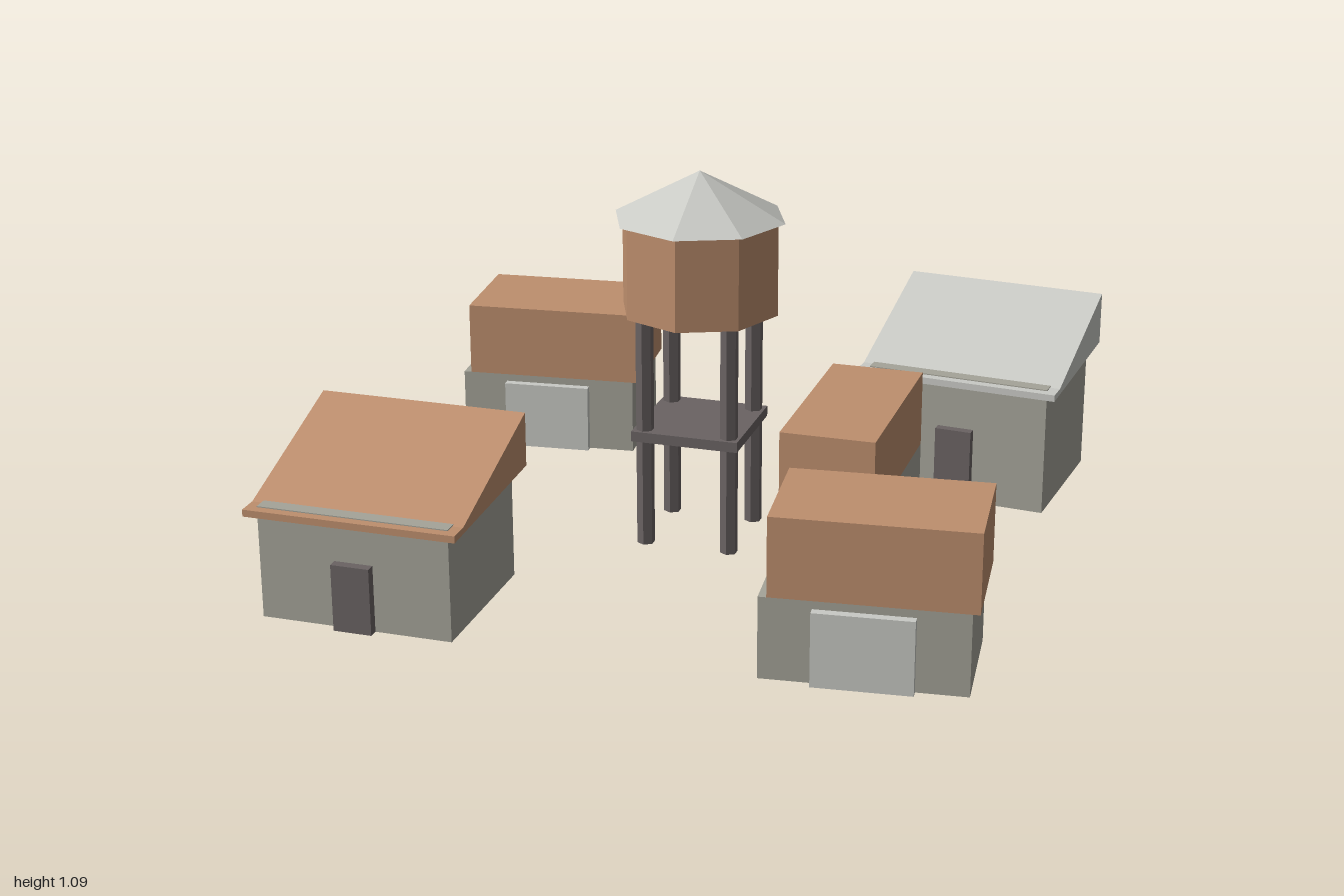
import * as THREE from 'three';

const mat = (name, color) => {
  const m = new THREE.MeshStandardMaterial({ color });
  m.name = name;
  return m;
};

export function createModel() {
  const rust = mat('rust orange', 0xbe8f6e);
  const wall = mat('wall grey', 0xa5a499);
  const light = mat('light metal', 0xc9cac5);
  const dark = mat('dark metal', 0x6a6363);

  const model = new THREE.Group();
  model.name = 'outpost';

  const group = (name, x, z, turn = 0) => {
    const g = new THREE.Group();
    g.name = name;
    g.position.set(x, 0, z);
    g.rotation.y = turn;
    model.add(g);
    return g;
  };
  const add = (parent, name, geometry, material, x = 0, y = 0, z = 0) => {
    const mesh = new THREE.Mesh(geometry, material);
    mesh.name = name;
    mesh.position.set(x, y, z);
    parent.add(mesh);
    return mesh;
  };
  // box standing with its bottom at y
  const box = (parent, name, material, w, h, d, x, y, z) =>
    add(parent, name, new THREE.BoxGeometry(w, h, d), material, x, y + h / 2, z);

  // hut with a single-slope roof, high at the back
  function hut(x, z, turn, height, roofMaterial) {
    const g = group('hut', x, z, turn);
    box(g, 'hutWalls', wall, 0.55, height + 0.003, 0.456, 0, 0, 0);
    box(g, 'hutDoor', dark, 0.11, height * 0.6, 0.04, 0, 0, 0.235);
    const profile = new THREE.Shape([
      [0.255, -0.02], [0.255, 0], [0.195, 0], [-0.265, 0.157], [-0.265, 0],
    ].map(([u, v]) => new THREE.Vector2(u, v)));
    const roof = new THREE.ExtrudeGeometry(profile, { depth: 0.61, bevelEnabled: false });
    roof.translate(0, 0, -0.305).rotateY(-Math.PI / 2);
    add(g, 'hutRoof', roof, roofMaterial, 0, height, 0);
  }
  hut(-0.695, 0.695, 0, 0.32, rust);
  hut(0.67, -0.665, -0.1, 0.387, light);

  // two-tier sheds, the upper tier shifted sideways
  for (const [x, z] of [[0.667, 0.691], [-0.695, -0.671]]) {
    const g = group('stackedShed', x, z, 0.1);
    box(g, 'lowerTier', wall, 0.548, 0.23, 0.337, 0, 0, 0);
    box(g, 'upperTier', rust, 0.545, 0.222, 0.337, 0.021, 0.23, 0);
    box(g, 'shedDoor', light, 0.268, 0.208, 0.04, 0, 0, 0.173);
  }

  // long shed beside the tower, with its hatch facing the tower
  const shed = group('longShed', 0.44, 0.011);
  box(shed, 'lowerTier', wall, 0.27, 0.23, 0.59, 0, 0, 0);
  box(shed, 'upperTier', rust, 0.27, 0.222, 0.59, 0, 0.23, 0);
  box(shed, 'sideHatch', light, 0.04, 0.315, 0.265, -0.136, 0.045, 0);

  // water tower
  const tower = group('waterTower', -0.014, 0.011);
  const flat = (r1, r2, h, n) => new THREE.CylinderGeometry(r1, r2, h, n).toNonIndexed();
  const faceted = (geometry) => {
    geometry.computeVertexNormals();
    return geometry;
  };
  add(tower, 'tank', faceted(flat(0.23, 0.23, 0.27, 8)), rust, 0, 0.82, 0);
  add(tower, 'tankRoof', faceted(new THREE.ConeGeometry(0.25, 0.135, 8).toNonIndexed()), light, 0, 1.0225, 0);
  box(tower, 'platform', dark, 0.315, 0.03, 0.315, 0, 0.32, 0);
  for (const sx of [-1, 1]) {
    for (const sz of [-1, 1]) {
      add(tower, 'towerLeg', faceted(flat(0.026, 0.026, 0.69, 6)), dark, sx * 0.125, 0.345, sz * 0.125);
    }
  }

  return model;
}
